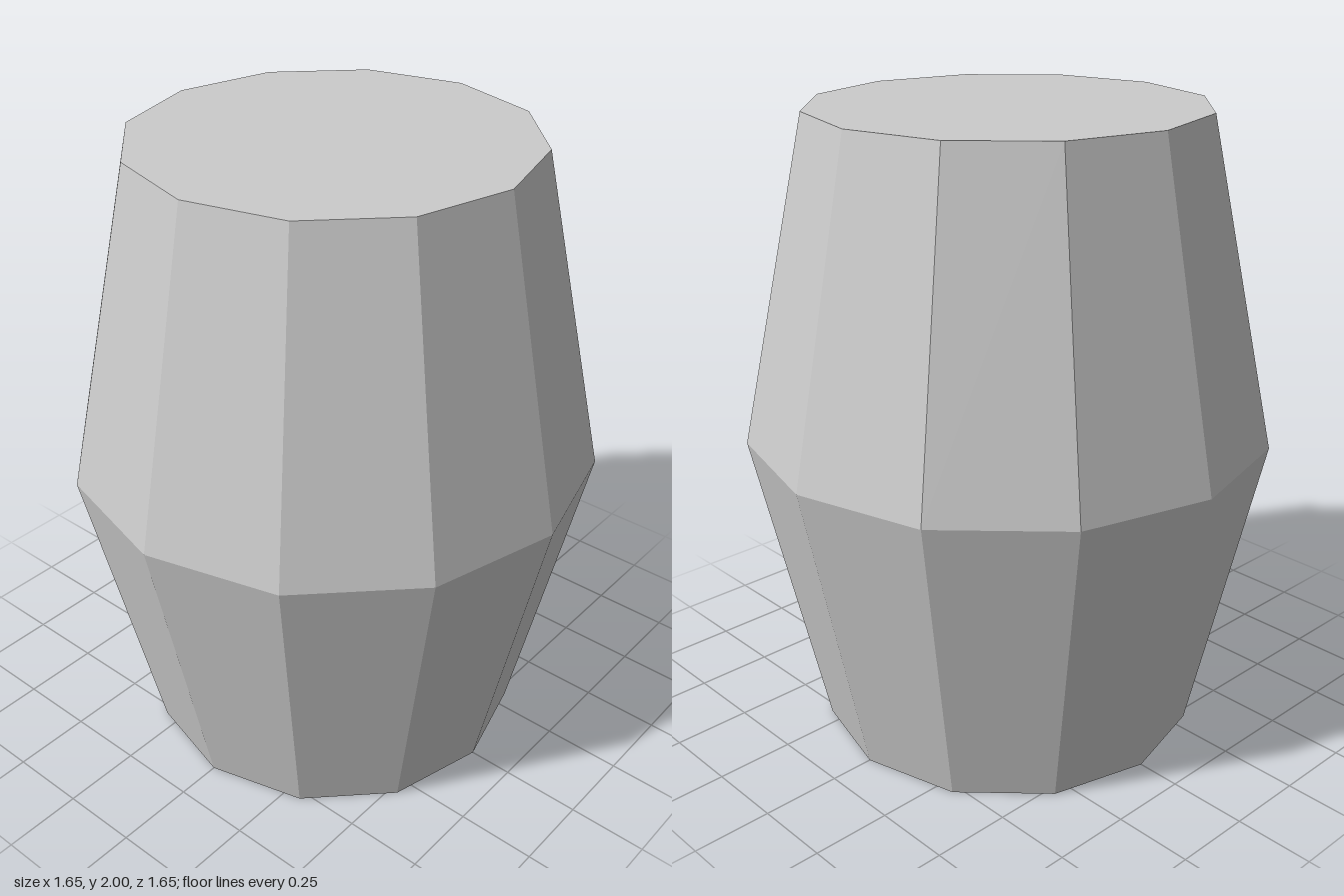
import * as THREE from 'three';

const HEIGHT = 2;
const END_RADIUS = 0.61;
const BELLY_RADIUS = 0.826;
const SIDES = 12;

export function createModel() {
  const group = new THREE.Group();
  group.name = 'barrel';

  // Closed twelve-sided body with one ring at mid height
  const geometry = new THREE.CylinderGeometry(END_RADIUS, END_RADIUS, HEIGHT, SIDES, 2);

  // Push the middle ring outwards to form the belly
  const position = geometry.attributes.position;
  const bulge = BELLY_RADIUS / END_RADIUS;
  for (let i = 0; i < position.count; i++) {
    if (Math.abs(position.getY(i)) < 0.01) {
      position.setX(i, position.getX(i) * bulge);
      position.setZ(i, position.getZ(i) * bulge);
    }
  }
  geometry.translate(0, HEIGHT / 2, 0);
  geometry.computeVertexNormals();

  const material = new THREE.MeshStandardMaterial({ color: 0xcccccc, flatShading: true });
  const body = new THREE.Mesh(geometry, material);
  body.name = 'barrelBody';
  group.add(body);
  return group;
}
